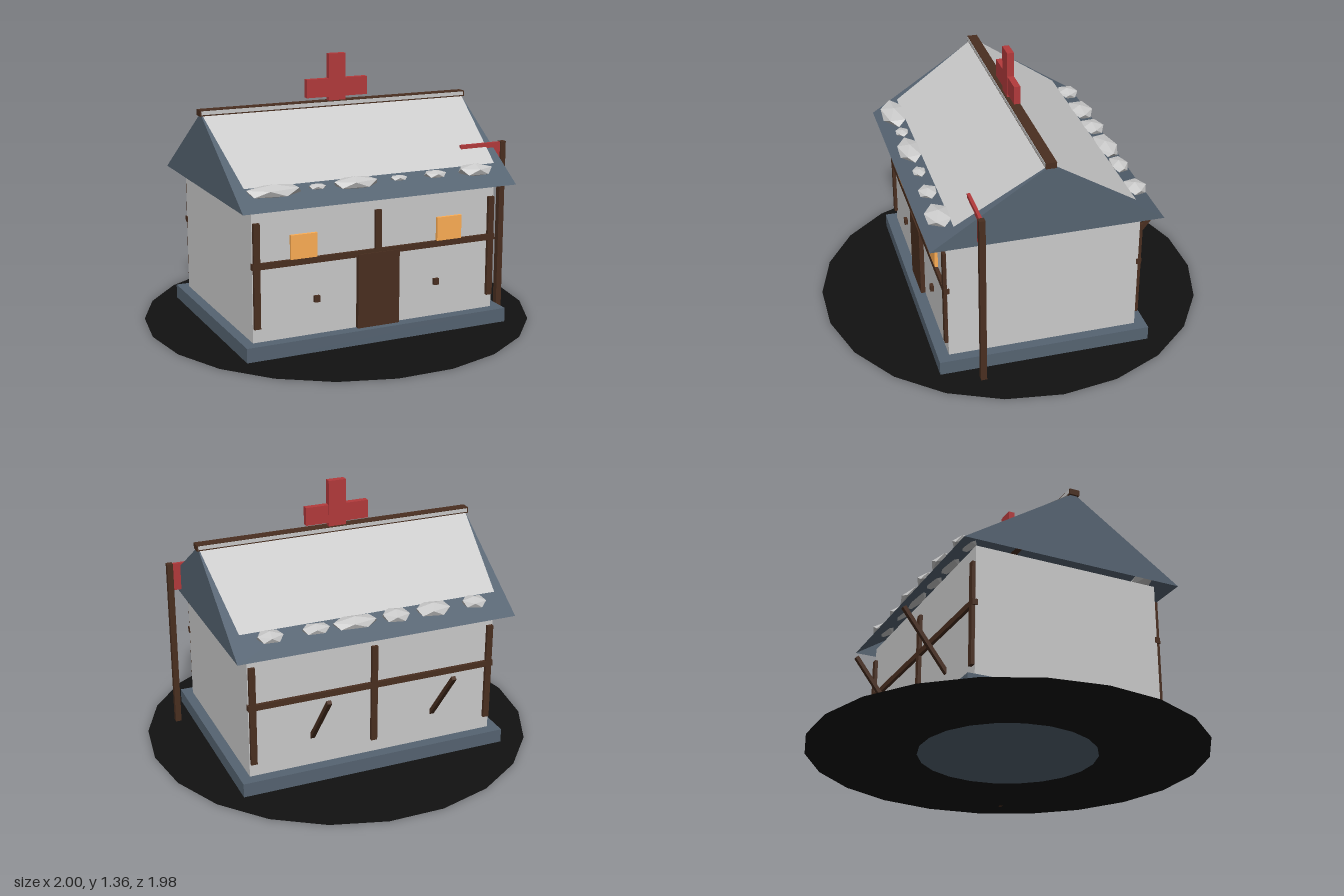
import * as THREE from 'three';

const mat = (color, side = THREE.FrontSide) =>
  new THREE.MeshStandardMaterial({ color, flatShading: true, side });

export function createModel() {
  const model = new THREE.Group();
  const grey = mat(0xcccccc);
  const slate = mat(0x566472);
  const wood = mat(0x4a2f20);
  const red = mat(0xb43a3c);
  const amber = mat(0xffaf55);

  function add(name, geometry, material) {
    const mesh = new THREE.Mesh(geometry, material);
    mesh.name = name;
    model.add(mesh);
    return mesh;
  }

  // Box given by its extents along each axis
  function box(name, material, [x0, x1], [y0, y1], [z0, z1]) {
    const mesh = add(name, new THREE.BoxGeometry(x1 - x0, y1 - y0, z1 - z0), material);
    mesh.position.set((x0 + x1) / 2, (y0 + y1) / 2, (z0 + z1) / 2);
    return mesh;
  }

  // Flat surface from triangles of corner points
  function surface(name, material, corners, index) {
    const g = new THREE.BufferGeometry();
    g.setAttribute('position', new THREE.Float32BufferAttribute(corners.flat(), 3));
    g.setIndex(index);
    const flat = g.toNonIndexed();
    flat.computeVertexNormals();
    return add(name, flat, material);
  }

  // Ground ring, foundation and walls
  const ground = add('ground', new THREE.RingGeometry(0.45, 1, 22, 1), mat(0x111111, THREE.DoubleSide));
  ground.rotation.x = -Math.PI / 2;
  box('foundation', slate, [-0.704, 0.704], [0.003, 0.075], [-0.537, 0.537]);
  box('walls', grey, [-0.652, 0.652], [0.07, 0.74], [-0.48, 0.48]);

  // Open-bottomed gable roof
  const RX = 0.725, RZ = 0.572, EAVE = 0.73, RIDGE = 1.105;
  const roofY = z => RIDGE - (RIDGE - EAVE) * Math.abs(z) / RZ;
  surface('roof', mat(0x566472, THREE.DoubleSide), [
    [-RX, EAVE, RZ], [RX, EAVE, RZ], [RX, RIDGE, 0], [-RX, RIDGE, 0],
    [RX, EAVE, -RZ], [-RX, EAVE, -RZ],
  ], [0, 1, 2, 0, 2, 3, 4, 5, 3, 4, 3, 2, 1, 4, 2, 5, 0, 3]);

  // Tapered cover on each slope
  for (const s of [1, -1]) {
    const y0 = roofY(0.445) + 0.006, y1 = roofY(0.015) + 0.006;
    surface('roofCover', mat(0xcccccc, THREE.DoubleSide), [
      [-0.672 * s, y0, 0.445 * s], [0.672 * s, y0, 0.445 * s],
      [0.722 * s, y1, 0.015 * s], [-0.722 * s, y1, 0.015 * s],
    ], [0, 1, 2, 0, 2, 3]);
  }

  // Ridge beam with pale side strips
  box('ridgeBeam', wood, [-0.735, 0.735], [1.093, 1.123], [-0.026, 0.026]);
  for (const s of [1, -1]) {
    const strip = box('ridgeStrip', grey, [-0.728, 0.728], [1.1, 1.119], [-0.003, 0.003]);
    strip.position.z = s * 0.025;
  }

  // Rough lumps along the eaves: x, half width, half depth, half height
  const lumps = {
    front: [[-0.54, 0.137, 0.065, 0.032], [-0.32, 0.042, 0.033, 0.014], [-0.12, 0.115, 0.06, 0.031],
      [0.11, 0.043, 0.033, 0.014], [0.31, 0.055, 0.047, 0.02], [0.535, 0.088, 0.066, 0.032]],
    back: [[-0.535, 0.062, 0.055, 0.028], [-0.31, 0.09, 0.062, 0.032], [-0.11, 0.07, 0.06, 0.03],
      [0.105, 0.115, 0.055, 0.03], [0.305, 0.07, 0.045, 0.025], [0.535, 0.064, 0.055, 0.028]],
  };
  for (const [side, list] of Object.entries(lumps)) {
    list.forEach(([x, w, d, h], i) => {
      const g = new THREE.IcosahedronGeometry(1, 0);
      g.rotateZ(0.55).rotateY(i * 1.3 + (side === 'back' ? 0.6 : 0));
      g.computeBoundingBox();
      const b = g.boundingBox.max;
      g.scale(w / b.x, h / b.y, d / b.z);
      const lump = add(side + 'EaveLump', g, grey);
      lump.position.set(x, 0.806, side === 'front' ? 0.487 : -0.487);
    });
  }

  // Timber framing on the front and back walls
  for (const s of [1, -1]) {
    const z = s > 0 ? [0.47, 0.497] : [-0.497, -0.47];
    for (const x of [-0.632, 0, 0.632]) {
      const bottom = s > 0 && x === 0 ? 0.45 : 0.145;
      box('wallPost', wood, [x - 0.016, x + 0.016], [bottom, 0.66], z);
    }
    box('wallRail', wood, [-0.655, 0.655], [0.436, 0.466], z);
  }

  // Sloping poles at the back, short pegs at the front, and windows
  const bottom = new THREE.Vector3(0, 0.225, -0.475), top = new THREE.Vector3(0, 0.522, -0.7);
  for (const s of [1, -1]) {
    const pole = add('backPole', new THREE.BoxGeometry(0.022, bottom.distanceTo(top), 0.02), wood);
    pole.position.copy(bottom).add(top).multiplyScalar(0.5).setX(s * 0.325);
    pole.rotation.x = Math.atan2(top.z - bottom.z, top.y - bottom.y);
    box('frontPeg', wood, [s * 0.325 - 0.014, s * 0.325 + 0.014], [0.238, 0.27], [0.47, 0.497]);
    box('window', amber, [s * 0.392 - 0.068, s * 0.392 + 0.068], [0.45, 0.585], [0.47, 0.496]);
  }
  box('door', wood, [-0.112, 0.112], [0.075, 0.45], [0.47, 0.503]);

  // Cross on the ridge
  box('crossUpright', red, [-0.046, 0.046], [1.11, 1.36], [-0.017, 0.017]);
  box('crossBar', red, [-0.167, 0.167], [1.142, 1.235], [-0.016, 0.016]);

  // Banner hanging from a tall pole beside the roof
  box('bannerPole', wood, [0.765, 0.795], [0, 0.905], [0.325, 0.355]);
  box('banner', red, [0.535, 0.77], [0.758, 0.903], [0.332, 0.348]);

  return model;
}
